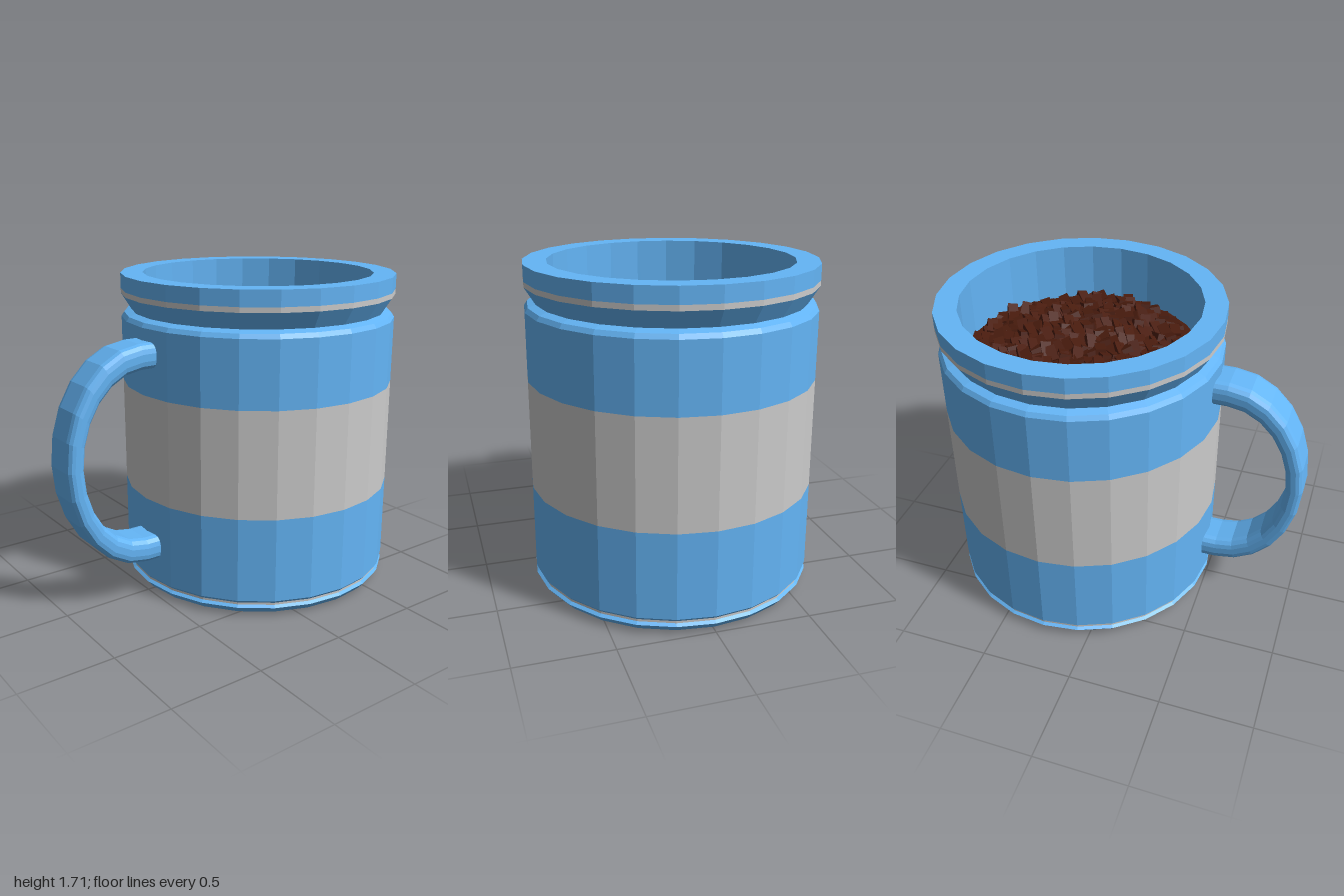
import * as THREE from 'three';
import { mergeGeometries } from 'three/addons/utils/BufferGeometryUtils.js';

const SIDES = 24;
const BODY_Z = -0.25; // the cup sits behind centre, the handle in front

const paint = (color) => new THREE.MeshStandardMaterial({ color, flatShading: true });

function seeded(seed) {
  return () => {
    seed = (seed * 16807) % 2147483647;
    return seed / 2147483647;
  };
}

// Rounded-rectangle tube whose inner and outer edges follow two half ellipses
function handleGeometry() {
  const midY = 0.815, startZ = 0.56, halfWidth = 0.115;
  // cross-section as [x, t], t = 0 on the inner edge and 1 on the outer edge
  const section = [];
  const corners = [[1, 1, 0], [-1, 1, 1], [-1, -1, 2], [1, -1, 3]];
  for (const [sx, st, quarter] of corners) {
    for (let k = 0; k <= 3; k++) {
      const a = (quarter + k / 3) * Math.PI / 2;
      section.push([
        sx * (halfWidth - 0.045) + 0.045 * Math.cos(a),
        0.5 + st * 0.14 + 0.36 * Math.sin(a),
      ]);
    }
  }
  // rings: buried end, twelve steps round the bend, buried end
  const rings = [[Math.PI / 2, 0.46 - startZ]];
  for (let i = 0; i <= 12; i++) rings.push([Math.PI / 2 - (i * Math.PI) / 12, 0]);
  rings.push([-Math.PI / 2, 0.46 - startZ]);

  const positions = [], indices = [], n = section.length;
  for (const [angle, shift] of rings) {
    for (const [x, t] of section) {
      const depth = 0.345 + 0.095 * t, height = 0.46 + 0.135 * t;
      positions.push(x, midY + height * Math.sin(angle), startZ + shift + depth * Math.cos(angle));
    }
  }
  for (let i = 0; i < rings.length - 1; i++) {
    for (let j = 0; j < n; j++) {
      const a = i * n + j, b = i * n + ((j + 1) % n);
      indices.push(a, b, a + n, b, b + n, a + n);
    }
  }
  const geometry = new THREE.BufferGeometry();
  geometry.setAttribute('position', new THREE.Float32BufferAttribute(positions, 3));
  geometry.setIndex(indices);
  geometry.computeVertexNormals();
  return geometry;
}

// Heap of small tilted chips laid roughly in one direction
function chipsGeometry(radius, level) {
  const random = seeded(71), jitter = (s) => (random() - 0.5) * s;
  const chips = [], grain = Math.PI / 6;
  const spin = new THREE.Matrix4().makeRotationY(grain);
  for (let u = -radius; u <= radius; u += 0.068) {
    for (let v = -radius; v <= radius; v += 0.042) {
      const x = u + jitter(0.05), z = v + jitter(0.02), r = Math.hypot(x, z);
      if (r > radius - 0.045) continue;
      const chip = new THREE.BoxGeometry(0.1, 0.05, 0.055);
      chip.rotateZ(jitter(0.8));
      chip.rotateX(jitter(0.8));
      chip.rotateY(jitter(0.5));
      const dome = 0.03 * (1 - (r / radius) ** 2);
      chip.translate(x, level + dome + jitter(0.03), z);
      chip.applyMatrix4(spin);
      chips.push(chip);
    }
  }
  return mergeGeometries(chips);
}

export function createModel() {
  const model = new THREE.Group();
  const blue = paint(0x64b5f6), grey = paint(0xcccccc), brown = paint(0x4a1c0e);

  const cup = new THREE.Group();
  cup.name = 'cup';
  cup.position.z = BODY_Z;
  model.add(cup);

  function ring(name, material, profile) {
    const points = profile.map(([r, y]) => new THREE.Vector2(r, y));
    const mesh = new THREE.Mesh(new THREE.LatheGeometry(points, SIDES), material);
    mesh.name = name;
    cup.add(mesh);
  }

  // Outside of the cup, from the base upwards
  ring('base', blue, [[0, 0], [0.685, 0], [0.72, 0.012], [0.75, 0.048], [0.735, 0.06]]);
  ring('baseGroove', grey, [[0.735, 0.06], [0.735, 0.072]]);
  ring('lowerWall', blue, [[0.735, 0.072], [0.75, 0.088], [0.75, 0.545]]);
  ring('wideBand', grey, [[0.75, 0.545], [0.75, 1.12]]);
  ring('upperWall', blue, [[0.75, 1.12], [0.75, 1.475], [0.735, 1.498], [0.695, 1.512]]);
  ring('neck', blue, [[0.695, 1.512], [0.75, 1.6]]);
  ring('thinBand', grey, [[0.75, 1.6], [0.75, 1.627]]);
  // Lip, inner wall and floor
  ring('rim', blue, [[0.75, 1.627], [0.75, 1.71], [0.63, 1.71]]);
  ring('innerWall', blue, [[0.63, 1.71], [0.63, 0.1], [0, 0.1]]);

  // Filling: a flat bed with chips on top
  ring('fillingBed', brown, [[0.63, 1.4], [0, 1.415]]);
  const chips = new THREE.Mesh(chipsGeometry(0.63, 1.4), brown);
  chips.name = 'fillingChips';
  cup.add(chips);

  const handle = new THREE.Mesh(handleGeometry(), blue);
  handle.name = 'handle';
  model.add(handle);

  return model;
}
